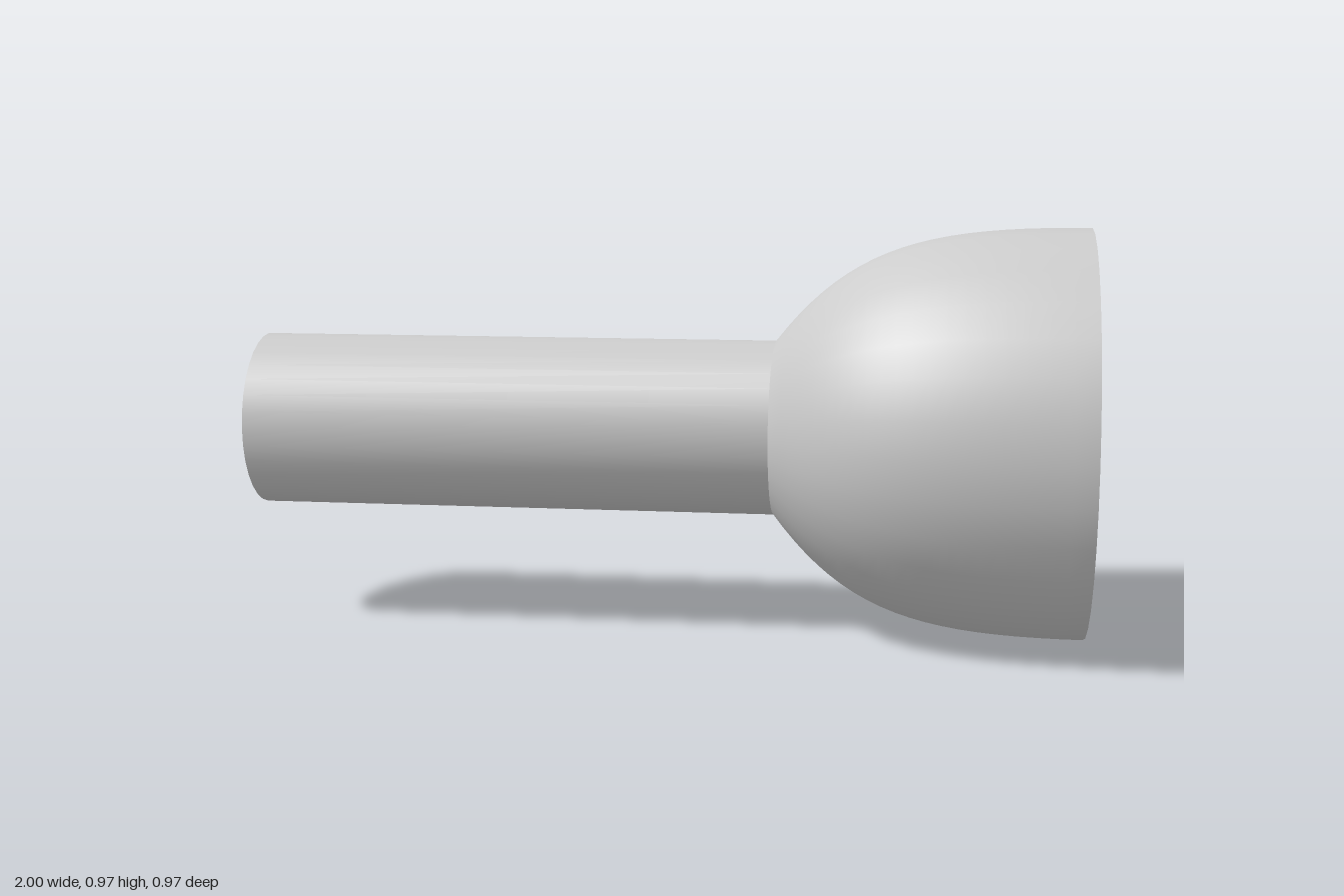
import * as THREE from 'three';
import { toCreasedNormals } from 'three/addons/utils/BufferGeometryUtils.js';

const SIDES = 32;
const RADIUS = 0.485; // rim radius, also the height of the axis
const NECK = 0.265;   // where the handle meets the cup

// Revolves a profile of (radius, position along x) around the long axis
function turned(name, points, material) {
  const geometry = new THREE.LatheGeometry(points, SIDES);
  geometry.rotateZ(-Math.PI / 2);
  const mesh = new THREE.Mesh(toCreasedNormals(geometry, Math.PI / 6), material);
  mesh.name = name;
  mesh.position.y = RADIUS;
  return mesh;
}

export function createModel() {
  const group = new THREE.Group();
  group.name = 'cupWithHandle';
  const material = new THREE.MeshStandardMaterial({ color: 0xcccccc });
  const p = (r, x) => new THREE.Vector2(r, x);

  // Handle: solid round bar with a flat end
  group.add(turned('handle', [p(0, -1), p(0.21, -1), p(0.21, NECK)], material));

  // Cup: domed outside, flat rim, straight bore with a flat floor
  const dome = new THREE.CubicBezierCurve(
    p(0.21, NECK), p(0.445, 0.445), p(RADIUS, 0.63), p(RADIUS, 1)
  ).getPoints(20);
  group.add(turned('cup', [...dome, p(0.4, 1), p(0.4, 0.56), p(0, 0.56)], material));

  return group;
}
